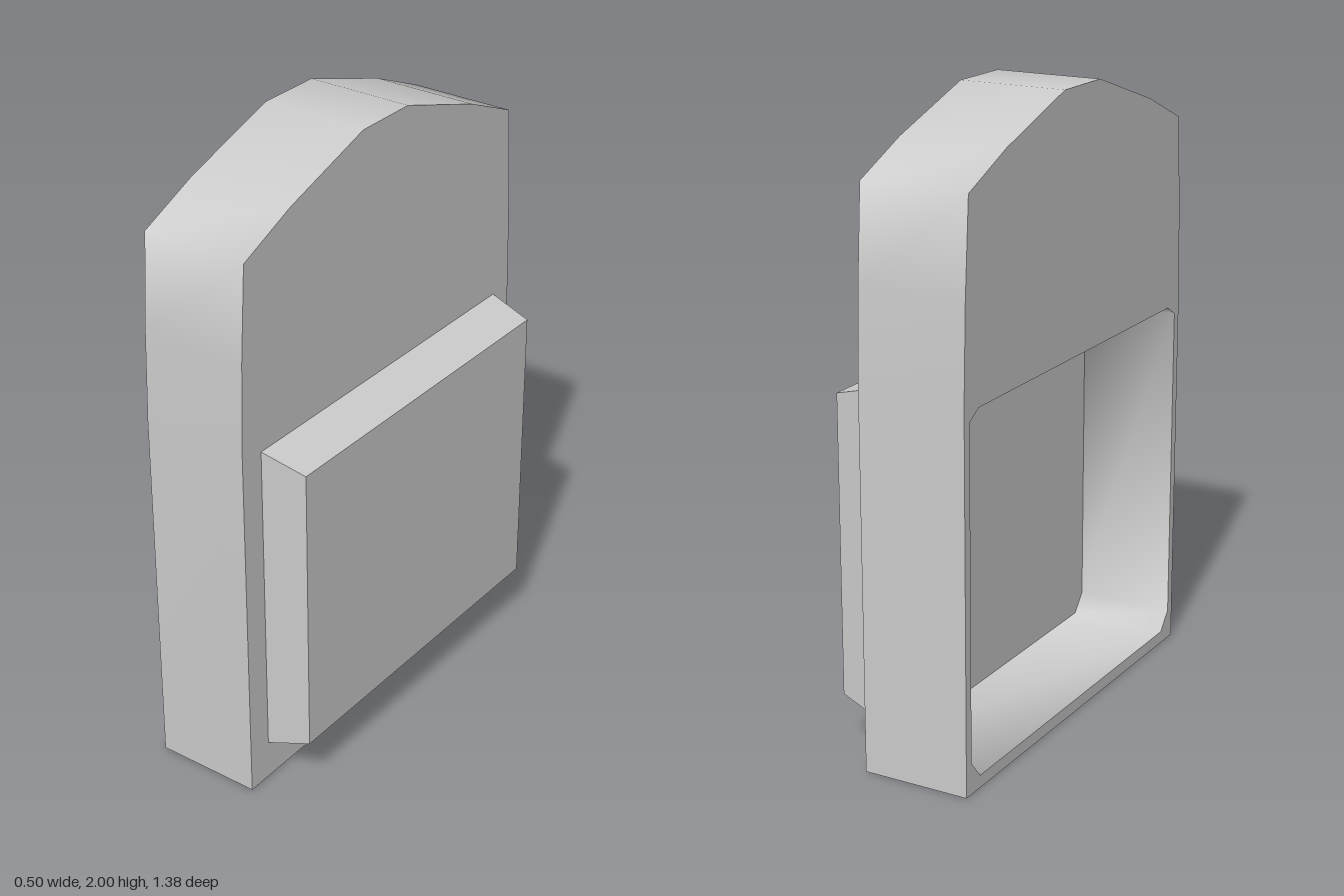
import * as THREE from 'three';
import { toCreasedNormals } from 'three/addons/utils/BufferGeometryUtils.js';

// Closed surface through rectangular rings [x, halfWidth, bottom, top], capped at both ends
function rectLoft(rings) {
  const pos = [];
  const index = [];
  for (const [x, w, y0, y1] of rings) {
    pos.push(x, y0, -w, x, y1, -w, x, y1, w, x, y0, w);
  }
  for (let i = 0; i < rings.length - 1; i++) {
    for (let j = 0; j < 4; j++) {
      const a = i * 4 + j;
      const b = i * 4 + (j + 1) % 4;
      index.push(a, b, b + 4, a, b + 4, a + 4);
    }
  }
  const e = (rings.length - 1) * 4;
  index.push(0, 2, 1, 0, 3, 2, e, e + 1, e + 2, e, e + 2, e + 3);
  const geo = new THREE.BufferGeometry();
  geo.setAttribute('position', new THREE.Float32BufferAttribute(pos, 3));
  geo.setIndex(index);
  return toCreasedNormals(geo, 1.2);
}

// Outline points from one half, given as [z, y] from bottom to top
function mirrored(half) {
  const other = half.map(([z, y]) => [-z, y]).reverse();
  return [...half, ...other].map(([z, y]) => new THREE.Vector2(z, y));
}

export function createModel() {
  const group = new THREE.Group();
  group.name = 'housing';
  const material = new THREE.MeshStandardMaterial({ color: 0xcccccc });

  const add = (name, geo) => {
    const mesh = new THREE.Mesh(geo, material);
    mesh.name = name;
    group.add(mesh);
  };

  // Slab with tapered shoulders and a large opening with clipped corners in its lower part
  const outline = new THREE.Shape(mirrored(
    [[0.69, 0], [0.69, 1.2], [0.68, 1.5], [0.66, 1.8], [0.45, 1.89], [0.11, 2]]));
  outline.holes.push(new THREE.Path(mirrored(
    [[0.61, 0.04], [0.66, 0.1], [0.66, 1.15], [0.61, 1.18]]).reverse()));
  const slab = new THREE.ExtrudeGeometry(outline, { depth: 0.35, bevelEnabled: false });
  slab.rotateY(Math.PI / 2);
  slab.translate(-0.25, 0, 0);
  add('slabBody', toCreasedNormals(slab, 1.2));

  // Floor that closes the opening, with the tapered raised panel on its outside
  add('raisedPanel', rectLoft([
    [0.08, 0.66, 0.04, 1.18],
    [0.1, 0.66, 0.04, 1.18],
    [0.1, 0.605, 0.13, 1.18],
    [0.245, 0.585, 0.18, 1.14],
  ]));

  return group;
}
